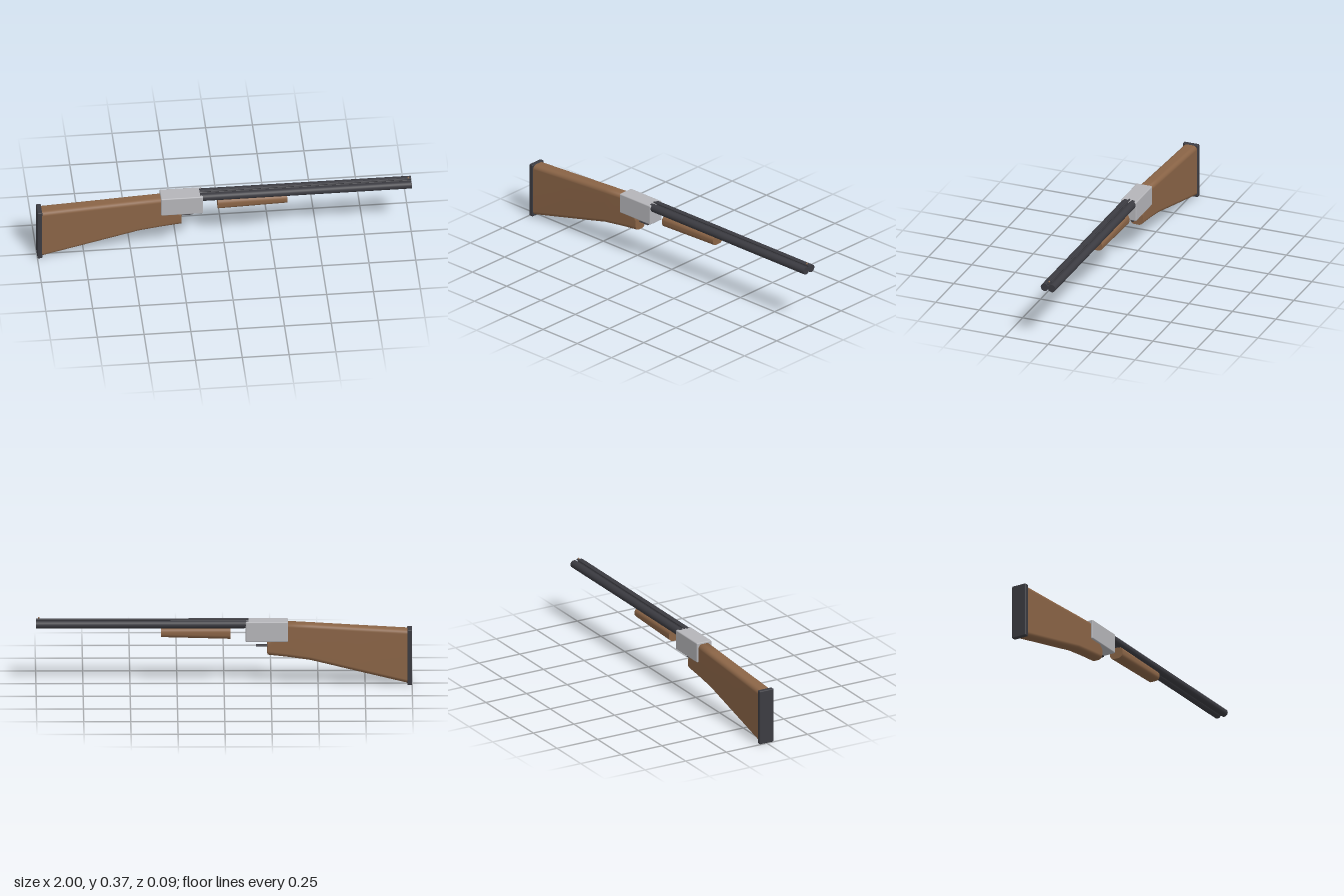
import * as THREE from 'three';
import { RoundedBoxGeometry } from 'three/addons/geometries/RoundedBoxGeometry.js';

const material = (name, color, extra) => Object.assign(new THREE.MeshStandardMaterial({ color }), { name });
const wood = material('walnut wood', 0x8a6446);
const dark = material('blued steel', 0x3b3b41);
const silver = material('silver steel', 0xb4b4b8);
const brass = material('brass', 0x8a6a50);

// Lofts rounded rectangles along x; sections are [x, bottom, top, halfWidth, cornerRadius]
function loft(sections) {
  const steps = 6, n = 4 * (steps + 1);
  const positions = [], indices = [];
  const addRing = ([x, bottom, top, w, r]) => {
    const start = positions.length / 3, h = (top - bottom) / 2, cy = (top + bottom) / 2;
    for (let q = 0; q < 4; q++) {
      const sz = q === 0 || q === 3 ? 1 : -1, sy = q < 2 ? 1 : -1;
      for (let k = 0; k <= steps; k++) {
        const a = (q + k / steps) * Math.PI / 2;
        positions.push(x, cy + sy * (h - r) + r * Math.sin(a), sz * (w - r) + r * Math.cos(a));
      }
    }
    return start;
  };
  const rings = sections.map(addRing);
  for (let i = 0; i < rings.length - 1; i++) {
    for (let j = 0; j < n; j++) {
      const k = (j + 1) % n, a = rings[i], b = rings[i + 1];
      indices.push(a + j, b + j, b + k, a + j, b + k, a + k);
    }
  }
  // Separate end caps keep the rims sharp
  const first = addRing(sections[0]), last = addRing(sections[sections.length - 1]);
  for (let j = 1; j < n - 1; j++) {
    indices.push(first, first + j, first + j + 1, last, last + j + 1, last + j);
  }
  const geometry = new THREE.BufferGeometry();
  geometry.setAttribute('position', new THREE.Float32BufferAttribute(positions, 3));
  geometry.setIndex(indices);
  geometry.computeVertexNormals();
  return geometry;
}

export function createModel() {
  const group = new THREE.Group();
  group.name = 'doubleBarrelShotgun';

  const add = (name, geometry, mat, x = 0, y = 0, z = 0) => {
    const mesh = new THREE.Mesh(geometry, mat);
    mesh.name = name;
    mesh.position.set(x, y, z);
    group.add(mesh);
    return mesh;
  };
  // Rod lying along x between two ends
  const rod = (name, x0, x1, y, z, r, sides) =>
    add(name, new THREE.CylinderGeometry(r, r, x1 - x0, sides).rotateZ(-Math.PI / 2), dark, (x0 + x1) / 2, y, z);

  // Stock, tapering from the butt to the grip under the receiver
  add('stock', loft([
    [-0.985, 0.006, 0.301, 0.040, 0.022],
    [-0.720, 0.070, 0.317, 0.038, 0.022],
    [-0.460, 0.134, 0.333, 0.037, 0.022],
    [-0.340, 0.151, 0.340, 0.036, 0.022],
    [-0.230, 0.163, 0.239, 0.036, 0.024],
  ]), wood);
  add('buttPlate', new RoundedBoxGeometry(0.026, 0.305, 0.087, 3, 0.006), dark, -0.987, 0.1525, 0);

  // Receiver block
  add('receiver', new RoundedBoxGeometry(0.225, 0.111, 0.091, 3, 0.006), silver, -0.2275, 0.2945, 0);

  // Twin barrels with the sighting rib and bead
  for (const side of [1, -1]) {
    rod(side > 0 ? 'frontBarrel' : 'backBarrel', -0.13, 1, 0.332, side * 0.021, 0.0212, 32);
  }
  rod('rib', -0.13, 1, 0.354, 0, 0.005, 12);
  add('bead', new THREE.SphereGeometry(0.005, 16, 12), brass, 0.985, 0.363, 0);

  // Fore-end under the barrels
  add('foreEnd', loft([
    [-0.035, 0.251, 0.314, 0.039, 0.024],
    [0.335, 0.261, 0.313, 0.036, 0.022],
  ]), wood);

  // Trigger, a flattened rod in front of the grip
  rod('trigger', -0.25, -0.17, 0.21, 0, 0.0095, 16).scale.y = 0.55;

  return group;
}
